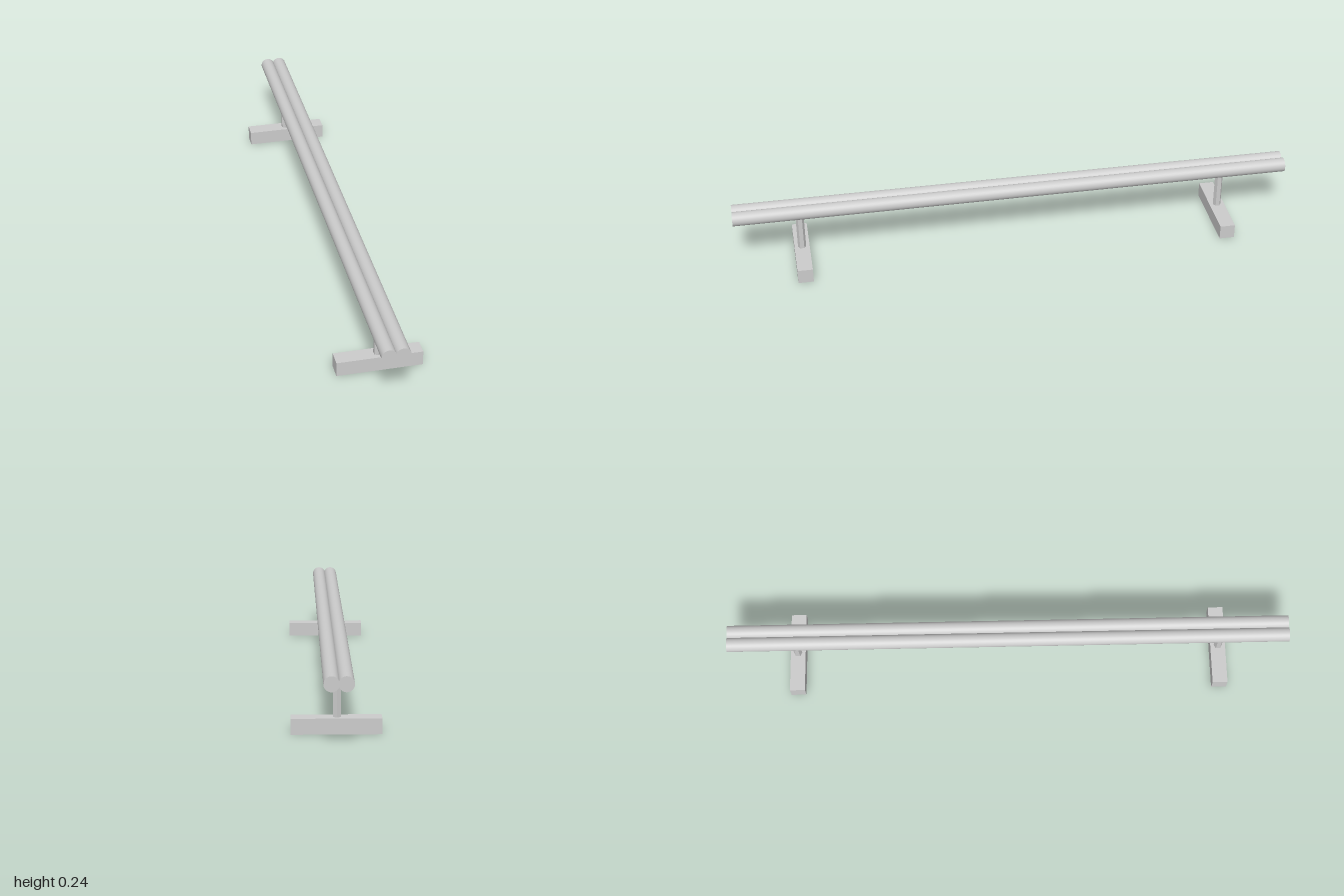
import * as THREE from 'three';

export function createModel() {
  const group = new THREE.Group();
  const smooth = new THREE.MeshStandardMaterial({ color: 0xcccccc });
  const flat = new THREE.MeshStandardMaterial({ color: 0xcccccc, flatShading: true });

  const add = (name, geometry, material, x, y, z) => {
    const mesh = new THREE.Mesh(geometry, material);
    mesh.name = name;
    mesh.position.set(x, y, z);
    group.add(mesh);
  };

  // Twin round rails, slightly overlapping along the centre line
  const railGeometry = new THREE.CylinderGeometry(0.025, 0.025, 2, 32).rotateX(Math.PI / 2);
  add('leftRail', railGeometry, smooth, 0.021, 0.213, 0);
  add('rightRail', railGeometry, smooth, -0.025, 0.213, 0);

  // A hexagonal post on a cross foot near each end
  const postGeometry = new THREE.CylinderGeometry(0.0145, 0.0145, 0.16, 6);
  const footGeometry = new THREE.BoxGeometry(0.291, 0.052, 0.054);
  for (const [end, z] of [['front', 0.766], ['back', -0.766]]) {
    add(end + 'Post', postGeometry, flat, -0.002, 0.12, z);
    add(end + 'Foot', footGeometry, flat, 0, 0.026, z);
  }
  return group;
}
